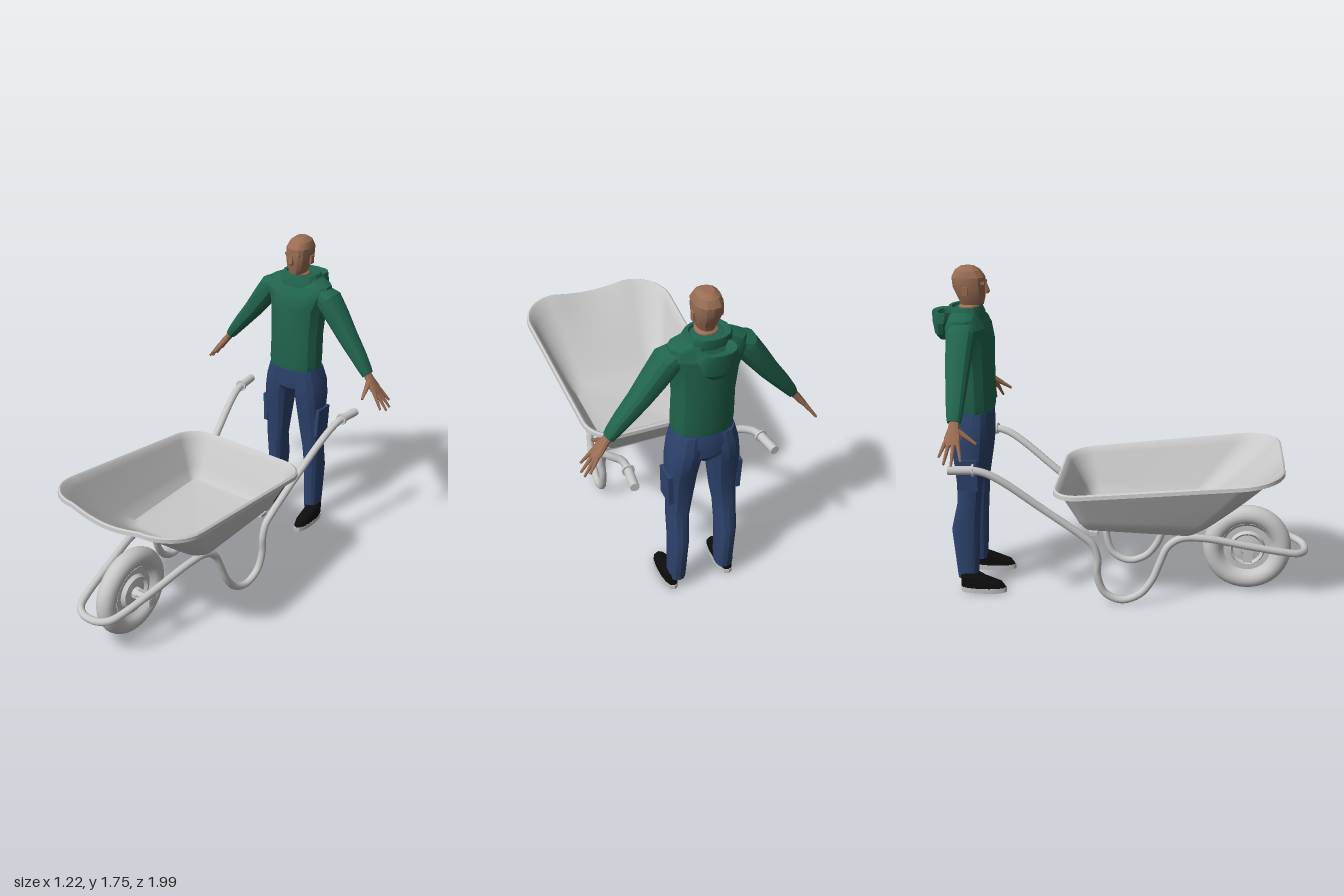
import * as THREE from 'three';
import { toCreasedNormals } from 'three/addons/utils/BufferGeometryUtils.js';

const V = (x, y, z) => new THREE.Vector3(x, y, z);
const paint = (name, color) => {
  const m = new THREE.MeshStandardMaterial({ color, side: THREE.DoubleSide });
  m.name = name;
  return m;
};

// Skin over a list of equally sized rings, optionally closed with caps
function skin(rings, crease = 0.5, capStart = true, capEnd = true) {
  const n = rings[0].length, pos = [], idx = [];
  rings.forEach(r => r.forEach(p => pos.push(p.x, p.y, p.z)));
  for (let i = 0; i + 1 < rings.length; i++) {
    for (let j = 0; j < n; j++) {
      const k = (j + 1) % n, a = i * n + j, b = i * n + k;
      idx.push(a, b, b + n, a, b + n, a + n);
    }
  }
  const last = (rings.length - 1) * n;
  for (let j = 1; j < n - 1; j++) {
    if (capStart) idx.push(0, j + 1, j);
    if (capEnd) idx.push(last, last + j, last + j + 1);
  }
  const g = new THREE.BufferGeometry();
  g.setAttribute('position', new THREE.Float32BufferAttribute(pos, 3));
  g.setIndex(idx);
  g.computeVertexNormals();
  return toCreasedNormals(g, crease);
}

// Sections [x, y, z, half width, half depth], advancing along d in the xy plane
function loft(sections, { d = V(0, 1, 0), n = 14, power = 0.85, crease = 0.42 } = {}) {
  const v = d.clone().normalize().cross(V(0, 0, 1));
  const soft = t => Math.sign(t) * Math.abs(t) ** power;
  return skin(sections.map(([x, y, z, hw, hd]) => Array.from({ length: n }, (_, j) => {
    const a = (j / n) * Math.PI * 2;
    return V(x, y, z).addScaledVector(v, hw * soft(Math.sin(a))).add(V(0, 0, hd * soft(Math.cos(a))));
  })), crease);
}

// Tapered rod between two points
function rod(a, b, ra, rb, sides = 16) {
  const dir = b.clone().sub(a);
  const g = new THREE.CylinderGeometry(rb, ra, dir.length(), sides);
  g.applyQuaternion(new THREE.Quaternion().setFromUnitVectors(V(0, 1, 0), dir.clone().normalize()));
  const c = a.clone().add(b).multiplyScalar(0.5);
  return g.translate(c.x, c.y, c.z);
}

// One tray outline: t = 0 at the floor, 1 at the rim; out and lift shape the lip
function trayRing(t, out = 0, lift = 0, shrink = 0) {
  const mix = (a, b) => a + (b - a) * t, pts = [];
  const zf = mix(0.4, 0.82) + out - shrink, zb = mix(-0.2, -0.325) - out + shrink;
  const wf = mix(0.265, 0.42) + out - shrink, wb = mix(0.27, 0.375) + out - shrink;
  const corners = [[1, 1], [1, -1], [-1, -1], [-1, 1]];
  corners.forEach(([sx, sz], c) => {
    const r = Math.max(0.02, (sz > 0 ? mix(0.07, 0.2) : mix(0.05, 0.13)) + out - shrink * 0.3);
    for (let k = 0; k <= 10; k++) {
      const a = (c + k / 10) * Math.PI / 2;
      const z = (sz > 0 ? zf - r : zb + r) + r * Math.cos(a);
      const hw = wb + (wf - wb) * (z - zb) / (zf - zb);
      pts.push(V(sx * (hw - r) + r * Math.sin(a), mix(0.413 - 0.038 * z, 0.678 + 0.105 * z) + lift, z));
    }
    // Midpoints let the front edge dip and bow forward
    if (c === 3) {
      for (let k = 1; k < 10; k++) {
        const p = V(-(wf - r) + 2 * (wf - r) * k / 10, mix(0.413 - 0.038 * zf, 0.678 + 0.105 * zf) + lift, zf);
        const bow = Math.sin(k / 10 * Math.PI) * t * t;
        pts.push(p.add(V(0, -0.03 * bow, 0.008 * bow)));
      }
    }
  });
  return pts;
}

export function createModel() {
  const grey = paint('light grey', 0xc8c8c8), skinTone = paint('skin', 0x9a6d53);
  const green = paint('green cloth', 0x21654f), blue = paint('blue cloth', 0x2d436e);
  const black = paint('black', 0x0d0d0d);
  const root = new THREE.Group(), barrow = new THREE.Group(), person = new THREE.Group();
  barrow.name = 'wheelbarrow';
  person.name = 'person';
  root.add(barrow, person);
  const add = (group, name, geo, mat) => {
    const m = new THREE.Mesh(geo, mat);
    m.name = name;
    group.add(m);
    return m;
  };

  // Tray with rolled lip
  const tray = [trayRing(0, 0, 0, 0.03), trayRing(0.015, 0, 0, 0.01)];
  for (let k = 1; k <= 8; k++) tray.push(trayRing(0.03 + 0.97 * k / 8));
  tray.push(trayRing(1, 0.012, 0.008), trayRing(1, 0.022, 0.002), trayRing(1, 0.024, -0.018));
  add(barrow, 'tray', skin(tray, 0.7, true, false), grey);

  // Frame tube: handle, U leg, front loop, then mirrored back
  const half = [[0.365, 0.772, -0.866], [0.352, 0.77, -0.75], [0.345, 0.757, -0.69], [0.332, 0.713, -0.61],
    [0.298, 0.55, -0.4], [0.275, 0.39, -0.19], [0.27, 0.343, -0.142], [0.27, 0.268, -0.117],
    [0.268, 0.177, -0.12], [0.262, 0.07, -0.083], [0.255, 0.026, 0.008], [0.247, 0.06, 0.105],
    [0.238, 0.14, 0.169], [0.23, 0.23, 0.206], [0.222, 0.327, 0.25], [0.215, 0.37, 0.314],
    [0.2, 0.37, 0.437], [0.163, 0.317, 0.67], [0.125, 0.271, 0.87], [0.1, 0.256, 0.935], [0.055, 0.249, 0.97]];
  const path = [...half.map(p => V(...p)), V(0, 0.247, 0.979),
    ...half.slice().reverse().map(([x, y, z]) => V(-x, y, z))];
  add(barrow, 'frame', new THREE.TubeGeometry(new THREE.CatmullRomCurve3(path), 320, 0.02, 12), grey);

  // Bars under the tray
  for (const [z, y, w] of [[-0.14, 0.4, 0.52], [0.33, 0.388, 0.42]]) {
    add(barrow, 'crossBar', new THREE.BoxGeometry(w, 0.022, 0.045).translate(0, y, z), grey);
  }

  // Wheel: tyre, dished rim, axle
  add(barrow, 'tyre', new THREE.TorusGeometry(0.186, 0.052, 20, 48).rotateY(Math.PI / 2).translate(0, 0.245, 0.67), grey);
  const side = [[0.032, 0.06], [0.032, 0.032], [0.075, 0.025], [0.088, 0.04], [0.098, 0.018], [0.128, 0.018], [0.145, 0.036]];
  const rim = [...side, ...side.slice().reverse().map(([r, h]) => [r, -h])].map(p => new THREE.Vector2(...p));
  add(barrow, 'rim', toCreasedNormals(new THREE.LatheGeometry(rim, 40), 0.6).rotateZ(Math.PI / 2).translate(0, 0.245, 0.67), grey);
  add(barrow, 'axle', rod(V(-0.15, 0.245, 0.67), V(0.15, 0.245, 0.67), 0.018, 0.018), grey);

  // Head with neck, nose
  add(person, 'head', loft([[0, 1.46, -0.815, 0.058, 0.052], [0, 1.55, -0.8, 0.054, 0.053],
    [0, 1.558, -0.785, 0.04, 0.06], [0, 1.6, -0.787, 0.058, 0.073], [0, 1.65, -0.797, 0.067, 0.087],
    [0, 1.7, -0.8, 0.068, 0.088], [0, 1.735, -0.803, 0.054, 0.066], [0, 1.755, -0.803, 0.028, 0.035]]), skinTone);
  add(person, 'nose', loft([[0, 1.615, -0.712, 0.013, 0.014], [0, 1.625, -0.71, 0.015, 0.021],
    [0, 1.67, -0.717, 0.007, 0.012]], { n: 6 }), skinTone);
  add(person, 'brow', new THREE.BoxGeometry(0.09, 0.012, 0.02).translate(0, 1.672, -0.722), skinTone);

  // Hooded top
  add(person, 'torso', loft([[0, 1.0, -0.795, 0.15, 0.108], [0, 1.04, -0.795, 0.155, 0.113],
    [0, 1.2, -0.797, 0.152, 0.115], [0, 1.37, -0.803, 0.163, 0.124], [0, 1.45, -0.81, 0.196, 0.113],
    [0, 1.5, -0.817, 0.188, 0.086], [0, 1.53, -0.82, 0.12, 0.074], [0, 1.545, -0.815, 0.07, 0.055]]), green);
  add(person, 'collar', loft([[0, 1.47, -0.81, 0.14, 0.09], [0, 1.515, -0.815, 0.122, 0.092],
    [0, 1.552, -0.822, 0.105, 0.085], [0, 1.552, -0.82, 0.088, 0.07], [0, 1.52, -0.815, 0.066, 0.06]]), green);
  add(person, 'hood', loft([[0, 1.375, -0.935, 0.04, 0.025], [0, 1.41, -0.94, 0.08, 0.042],
    [0, 1.47, -0.935, 0.1, 0.055], [0, 1.525, -0.93, 0.09, 0.064], [0, 1.52, -0.92, 0.07, 0.045],
    [0, 1.48, -0.915, 0.05, 0.03]]), green);

  // Trouser seat
  add(person, 'seat', loft([[0, 0.83, -0.81, 0.04, 0.07], [0, 0.88, -0.81, 0.14, 0.106],
    [0, 0.95, -0.808, 0.168, 0.108], [0, 1.02, -0.8, 0.147, 0.1]]), blue);

  for (const s of [1, -1]) {
    const tag = s > 0 ? 'left' : 'right';
    const along = V(0.28 * s, -0.365, 0);

    // Grip, collar ring and wheel bracket
    add(barrow, tag + 'Grip', rod(V(0.351 * s, 0.77, -0.745), V(0.366 * s, 0.772, -0.87), 0.023, 0.023), grey);
    add(barrow, tag + 'GripRing', rod(V(0.351 * s, 0.77, -0.74), V(0.352 * s, 0.77, -0.75), 0.032, 0.032), grey);
    add(barrow, tag + 'Bracket', new THREE.BoxGeometry(0.012, 0.1, 0.05).translate(0.142 * s, 0.265, 0.67), grey);

    // Sleeve
    add(person, tag + 'Sleeve', loft([[0.11, 1.47, -0.81, 0.05, 0.06], [0.185, 1.432, -0.81, 0.066, 0.075],
      [0.25, 1.345, -0.812, 0.06, 0.068], [0.325, 1.242, -0.81, 0.05, 0.058], [0.4, 1.15, -0.806, 0.041, 0.048],
      [0.45, 1.085, -0.803, 0.032, 0.04], [0.467, 1.06, -0.802, 0.027, 0.034]]
      .map(([x, ...r]) => [x * s, ...r]), { d: along }), green);

    // Hand: palm, four fingers, thumb
    add(person, tag + 'Palm', loft([[0.455, 1.075, -0.802, 0.02, 0.026], [0.483, 1.04, -0.8, 0.018, 0.028],
      [0.515, 1.0, -0.8, 0.017, 0.042], [0.543, 0.965, -0.803, 0.012, 0.04]]
      .map(([x, ...r]) => [x * s, ...r]), { d: along, n: 10 }), skinTone);
    for (const [z, x2, y2, z2] of [[-0.773, 0.59, 0.9, -0.75], [-0.794, 0.604, 0.882, -0.795],
      [-0.815, 0.6, 0.887, -0.834], [-0.833, 0.58, 0.918, -0.86]]) {
      add(person, tag + 'Finger', rod(V(0.532 * s, 0.98, z), V(x2 * s, y2, z2), 0.012, 0.006, 7), skinTone);
    }
    add(person, tag + 'Thumb', rod(V(0.49 * s, 1.025, -0.78), V(0.508 * s, 0.965, -0.686), 0.017, 0.007, 7), skinTone);
    add(person, tag + 'Ear', new THREE.BoxGeometry(0.012, 0.045, 0.028).translate(0.068 * s, 1.635, -0.808), skinTone);

    // Trouser leg and side pocket
    add(person, tag + 'Leg', loft([[0.13, 0.075, -0.838, 0.043, 0.056], [0.13, 0.12, -0.838, 0.046, 0.06],
      [0.128, 0.35, -0.843, 0.05, 0.076], [0.125, 0.5, -0.82, 0.058, 0.064], [0.115, 0.6, -0.813, 0.066, 0.067],
      [0.108, 0.75, -0.808, 0.077, 0.088], [0.102, 0.83, -0.81, 0.083, 0.102], [0.088, 0.92, -0.81, 0.086, 0.108],
      [0.075, 1.0, -0.802, 0.076, 0.098]].map(([x, ...r]) => [x * s, ...r])), blue);
    add(person, tag + 'Pocket', new THREE.BoxGeometry(0.024, 0.17, 0.11)
      .rotateZ(-0.04 * s).translate(0.179 * s, 0.68, -0.812), blue);

    // Shoe and sole
    const sx = 0.152 * s;
    add(person, tag + 'Sole', loft([[sx, 0, -0.753, 0.041, 0.126], [sx, 0.028, -0.753, 0.042, 0.127]]), grey);
    add(person, tag + 'Shoe', loft([[sx, 0.028, -0.753, 0.041, 0.124], [sx, 0.055, -0.762, 0.04, 0.113],
      [sx, 0.085, -0.805, 0.038, 0.073], [sx * 0.92, 0.11, -0.838, 0.034, 0.045]]), black);
  }
  return root;
}
